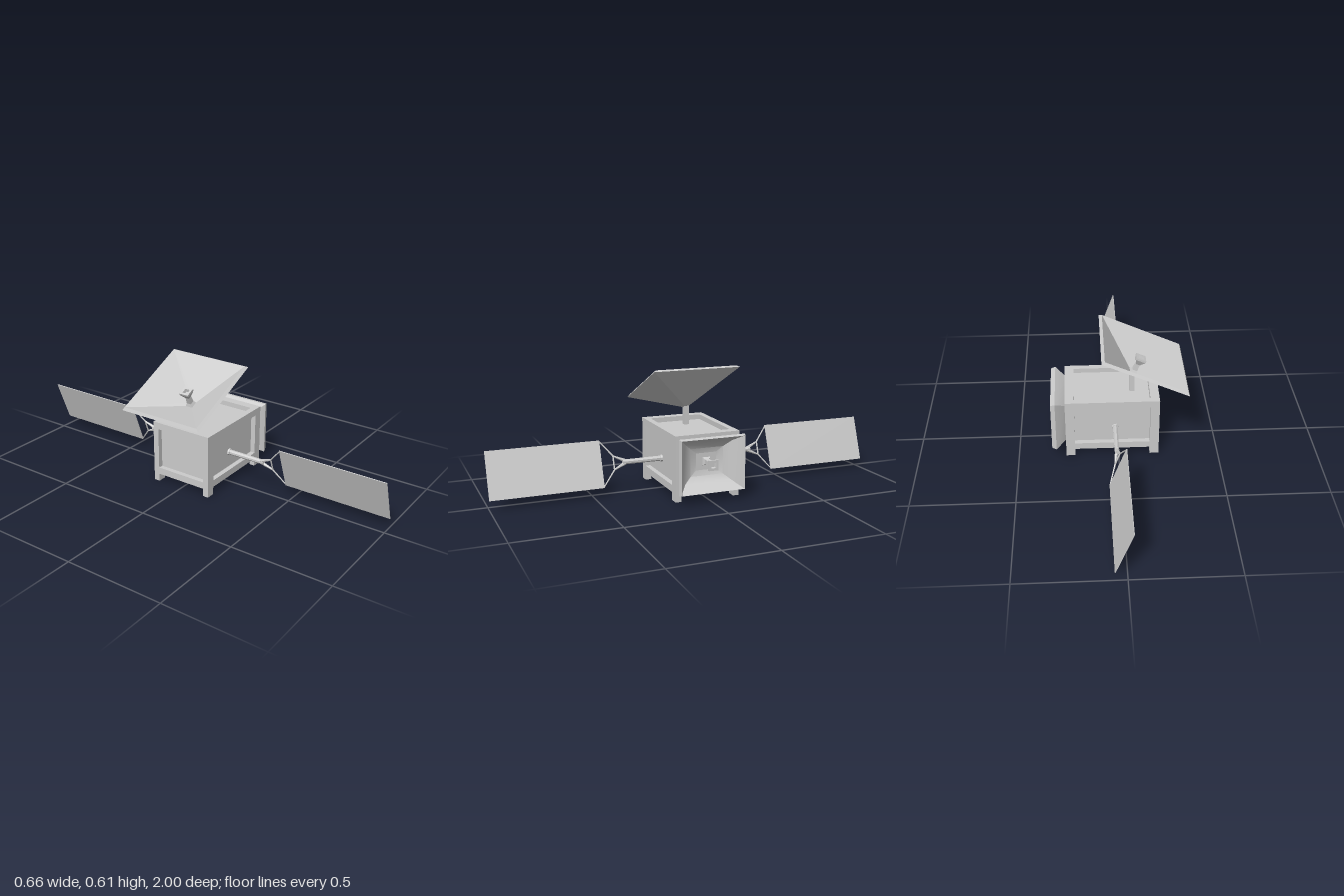
import * as THREE from 'three';
import { toCreasedNormals } from 'three/addons/utils/BufferGeometryUtils.js';

const mat = new THREE.MeshStandardMaterial({ color: 0xcccccc });

function add(parent, name, geo, x = 0, y = 0, z = 0) {
  const m = new THREE.Mesh(geo, mat);
  m.name = name;
  m.position.set(x, y, z);
  parent.add(m);
  return m;
}

// box given by its min and max corners
function boxBetween(parent, name, a, b) {
  const s = a.map((v, i) => b[i] - v);
  return add(parent, name, new THREE.BoxGeometry(...s), ...a.map((v, i) => (v + b[i]) / 2));
}

// square-section turned shape: profile of [half width, height], bottom to top
function squareLathe(profile, w = 1, d = 1, crease = 0.6) {
  const pts = profile.map(([r, h]) => new THREE.Vector2(r * Math.SQRT2, h));
  const g = new THREE.LatheGeometry(pts, 4, Math.PI / 4);
  g.scale(w, 1, d);
  return toCreasedNormals(g, crease);
}

// straight tapered rod between two points
function rod(parent, name, a, b, r0, r1, sides = 6) {
  const dir = b.clone().sub(a);
  const g = new THREE.CylinderGeometry(r1, r0, dir.length(), sides);
  const m = add(parent, name, toCreasedNormals(g, 0.3));
  m.position.copy(a).add(b).multiplyScalar(0.5);
  m.quaternion.setFromUnitVectors(new THREE.Vector3(0, 1, 0), dir.normalize());
  return m;
}

// horn standing at the centre of a dish, along local +y
function feedHorn(parent, y) {
  add(parent, 'feedHorn', squareLathe([
    [0.024, 0], [0.012, 0.025], [0.010, 0.06], [0.025, 0.09],
    [0.025, 0.1], [0.013, 0.1], [0.010, 0.085], [0, 0.085],
  ], 1, 1, 0.3), 0, y, 0);
}

export function createModel() {
  const root = new THREE.Group();
  root.name = 'satellite';

  // body: recessed core inside a frame of beams
  const x0 = -0.202, x1 = 0.262, y0 = 0.04, y1 = 0.322, zh = 0.165;
  const bx = 0.045, by = 0.035, bz = 0.03, inset = 0.025;
  const body = new THREE.Group();
  body.name = 'body';
  root.add(body);
  boxBetween(body, 'core', [x0 + inset, y0 + inset, -zh + inset], [x1 - inset, y1 - inset, zh - inset]);
  for (const s of [-1, 1]) {
    const za = s > 0 ? zh - bz : -zh, zb = za + bz;
    // corner posts run down into the feet
    boxBetween(body, 'cornerPost', [x0, 0, za], [x0 + bx, y1, zb]);
    boxBetween(body, 'cornerPost', [x1 - bx, 0, za], [x1, y1, zb]);
    for (const y of [y0, y1 - by]) {
      boxBetween(body, 'longBeam', [x0 + bx, y, za], [x1 - bx, y + by, zb]);
    }
  }
  for (const x of [x0, x1 - bx]) {
    for (const y of [y0, y1 - by]) {
      boxBetween(body, 'crossBeam', [x, y, -zh + bz], [x + bx, y + by, zh - bz]);
    }
  }

  // mast for the upper dish, leaning slightly at the top
  const mast = new THREE.BoxGeometry(0.023, 0.1, 0.025);
  const p = mast.attributes.position;
  for (let i = 0; i < p.count; i++) {
    if (p.getY(i) > 0) p.setY(i, p.getY(i) + 0.4 * p.getX(i));
  }
  mast.computeVertexNormals();
  add(root, 'mast', mast, -0.0735, 0.34, -0.025);

  // upper dish: shallow square pyramid, tilted
  const upper = new THREE.Group();
  upper.name = 'upperDish';
  upper.position.set(-0.125, 0.5035, -0.025);
  upper.rotation.z = 0.434;
  root.add(upper);
  add(upper, 'dishShell', squareLathe([
    [0, -0.1265], [0.0125, -0.1265], [0.229, 0], [0.217, 0.012], [0.0125, -0.112], [0, -0.112],
  ], 1, 0.983, 0.3));
  feedHorn(upper, -0.118);

  // side dish: deeper curved bowl set into the end window
  const side = new THREE.Group();
  side.name = 'sideDish';
  side.position.set(0.31, 0.181, -0.002);
  side.rotation.z = -Math.PI / 2;
  root.add(side);
  add(side, 'dishShell', squareLathe([
    [0, -0.09], [0.2, -0.088], [0.55, -0.075], [0.78, -0.048], [1, 0], [0.965, 0.022],
    [0.9, 0.0], [0.72, -0.042], [0.5, -0.064], [0.2, -0.078], [0, -0.08],
  ], 0.136, 0.168));
  feedHorn(side, -0.082);

  // solar wings: boom, yoke and thin tilted panel on each side
  for (const s of [1, -1]) {
    const wing = new THREE.Group();
    wing.name = s > 0 ? 'frontWing' : 'backWing';
    wing.position.set(0.0155, 0.156, 0);
    wing.rotation.z = 0.347;
    root.add(wing);
    const v = (x, y, z) => new THREE.Vector3(x, y, s * z);
    rod(wing, 'boomBase', v(0, 0, 0.138), v(0, 0, 0.15), 0.018, 0.016, 8);
    rod(wing, 'boom', v(0, 0, 0.138), v(0, 0, 0.345), 0.013, 0.012, 8);
    for (const k of [1, -1]) {
      rod(wing, 'yokeArm', v(0, k * 0.005, 0.33), v(0, k * 0.034, 0.392), 0.009, 0.004);
      rod(wing, 'yokeStrut', v(0, k * 0.034, 0.39), v(0, k * 0.113, 0.453), 0.004, 0.003);
    }
    rod(wing, 'yokeBar', v(0, -0.034, 0.39), v(0, 0.034, 0.39), 0.004, 0.004);
    add(wing, 'solarPanel', new THREE.BoxGeometry(0.004, 0.232, 0.55), 0, 0, s * 0.725);
  }
  return root;
}
